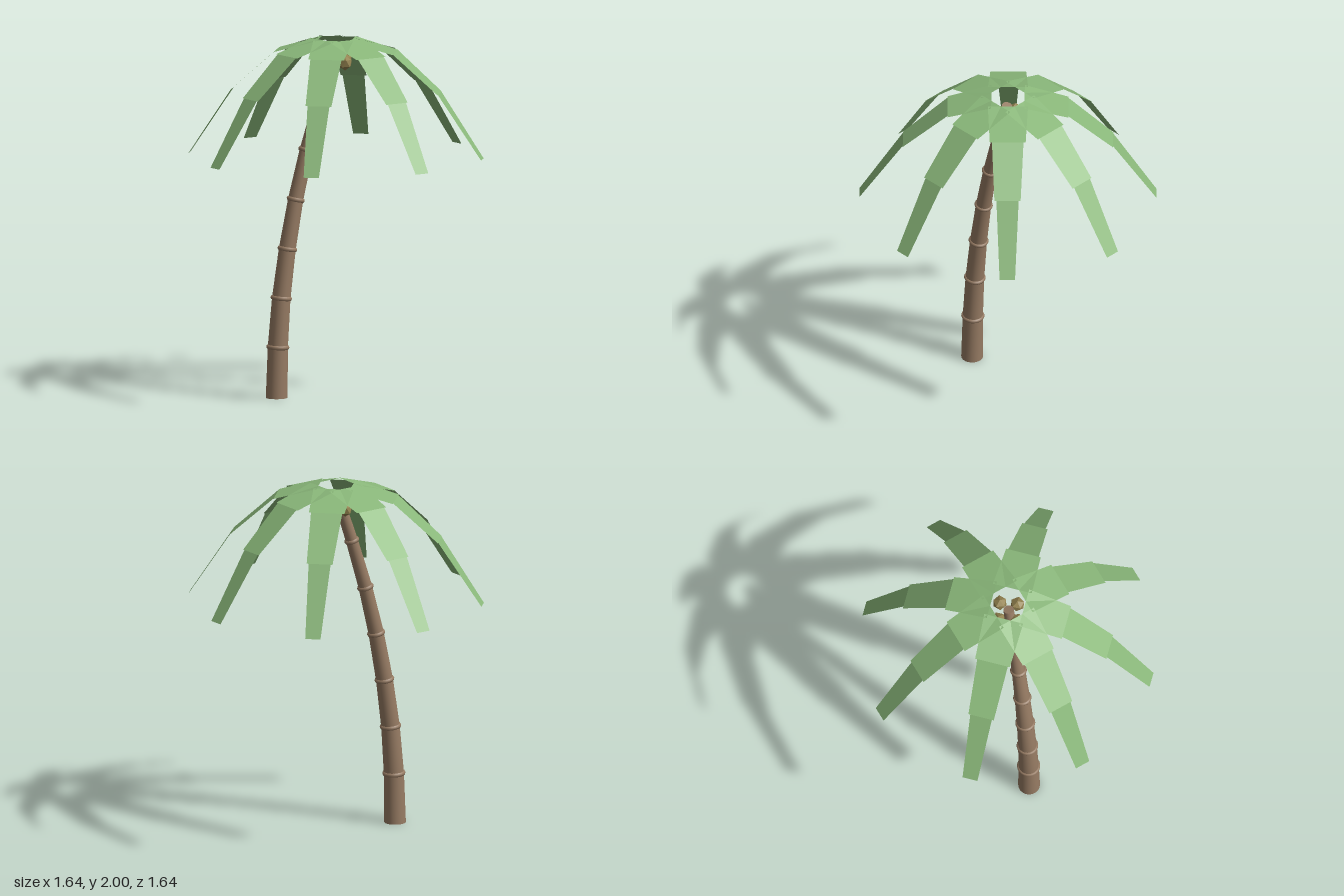
import * as THREE from 'three';

export function createModel() {
  const palm = new THREE.Group();
  palm.name = 'palmTree';

  const bark = new THREE.MeshStandardMaterial({ name: 'bark brown', color: 0x967b63 });
  const leaf = new THREE.MeshStandardMaterial({ name: 'leaf green', color: 0x8ab87a, side: THREE.DoubleSide, flatShading: true });
  const husk = new THREE.MeshStandardMaterial({ name: 'husk olive', color: 0x93824f, flatShading: true });

  const add = (parent, name, geometry, material) => {
    const mesh = new THREE.Mesh(geometry, material);
    mesh.name = name;
    parent.add(mesh);
    return mesh;
  };

  // Leaning trunk: joints from the ground to the crown
  const joints = [
    [-0.362, 0], [-0.355, 0.285], [-0.334, 0.56], [-0.297, 0.835],
    [-0.246, 1.11], [-0.18, 1.385], [-0.097, 1.665], [-0.01, 1.93],
  ].map(([x, y]) => new THREE.Vector3(x, y, 0));
  const sides = 20;
  const radiusAt = (i) => 0.061 - 0.0045 * i;
  const trunk = new THREE.Group();
  trunk.name = 'trunk';
  palm.add(trunk);

  // One tapered tube, with each cross-section tilted along the lean
  const positions = [], indices = [];
  joints.forEach((p, i) => {
    const tangent = joints[Math.min(i + 1, 7)].clone().sub(joints[Math.max(i - 1, 0)]).normalize();
    if (i === 0) tangent.set(0, 1, 0);
    for (let s = 0; s < sides; s++) {
      const a = (s / sides) * Math.PI * 2, r = radiusAt(i);
      positions.push(p.x + Math.cos(a) * r * tangent.y, p.y - Math.cos(a) * r * tangent.x, Math.sin(a) * r);
      if (i < 7) {
        const b = i * sides + s, c = i * sides + (s + 1) % sides;
        indices.push(b, b + sides, c, c, b + sides, c + sides);
      }
    }
    // Raised ring at each joint
    if (i > 0 && i < 7) {
      const ring = add(trunk, 'trunkRing', new THREE.TorusGeometry(radiusAt(i) - 0.005, 0.0135, 8, 24), bark);
      ring.position.copy(p);
      ring.quaternion.setFromUnitVectors(new THREE.Vector3(0, 0, 1), tangent);
    }
  });
  const stem = new THREE.BufferGeometry();
  stem.setAttribute('position', new THREE.Float32BufferAttribute(positions, 3));
  stem.setIndex(indices);
  stem.computeVertexNormals();
  add(trunk, 'stem', stem, bark);

  // Flat ends of the trunk
  const foot = add(trunk, 'trunkFoot', new THREE.CircleGeometry(radiusAt(0), sides), bark);
  foot.position.copy(joints[0]);
  foot.rotation.x = Math.PI / 2;
  const top = add(trunk, 'trunkTop', new THREE.CircleGeometry(radiusAt(7), sides), bark);
  top.position.copy(joints[7]);
  top.quaternion.setFromUnitVectors(new THREE.Vector3(0, 0, 1), joints[7].clone().sub(joints[6]).normalize());

  // Frond sections: inner radius, height, half width, then the same at the outer end
  const sections = [
    [0.093, 2.0, 0.112, 0.337, 1.93, 0.1],
    [0.337, 1.93, 0.088, 0.586, 1.706, 0.073],
    [0.586, 1.706, 0.062, 0.827, 1.34, 0.043],
  ].map(([r0, y0, w0, r1, y1, w1]) => {
    const g = new THREE.BufferGeometry();
    g.setAttribute('position', new THREE.Float32BufferAttribute(
      [r0, y0, w0, r1, y1, w1, r1, y1, -w1, r0, y0, -w0], 3));
    g.setIndex([0, 1, 2, 0, 2, 3]);
    g.computeVertexNormals();
    return g;
  });
  for (let i = 0; i < 8; i++) {
    const frond = new THREE.Group();
    frond.name = 'frond';
    frond.rotation.y = Math.PI / 16 + (i * Math.PI) / 4;
    sections.forEach((g) => add(frond, 'frondSection', g, leaf));
    palm.add(frond);
  }

  // Four faceted coconuts around the trunk top
  const nutShape = new THREE.IcosahedronGeometry(0.042).rotateZ(Math.atan(2 / (1 + Math.sqrt(5))));
  for (let i = 0; i < 4; i++) {
    const a = -0.38 + (i * Math.PI) / 2;
    const nut = add(palm, 'coconut', nutShape, husk);
    nut.position.set(Math.cos(a) * 0.07, 1.87, Math.sin(a) * 0.07);
    nut.rotation.y = -a;
  }

  return palm;
}
